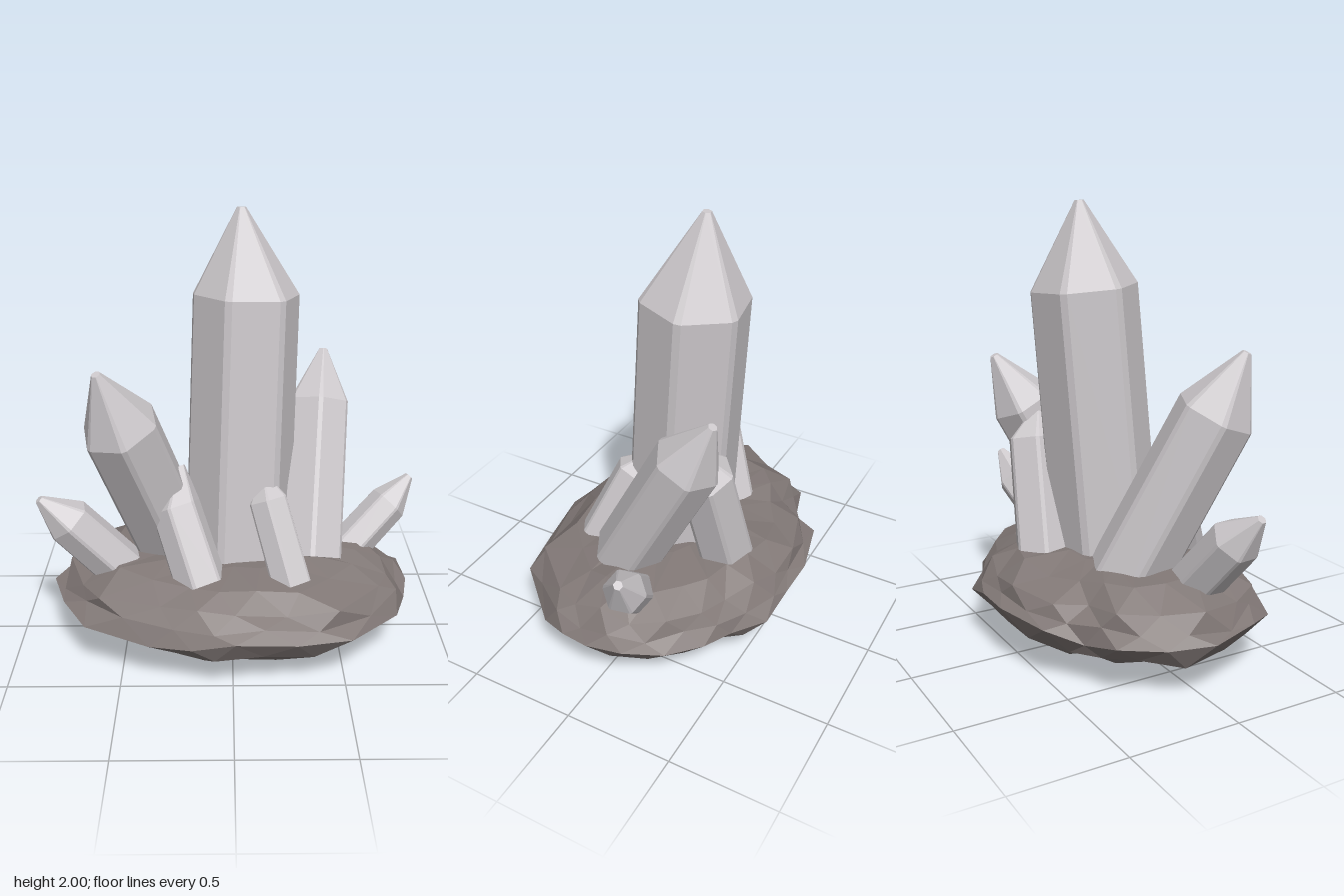
import * as THREE from 'three';

const crystalMat = new THREE.MeshStandardMaterial({ color: 0xcdc9cc });
crystalMat.name = 'pale crystal';
const rockMat = new THREE.MeshStandardMaterial({ color: 0x827977 });
rockMat.name = 'brown grey rock';

const V = (x, y, z) => new THREE.Vector3(x, y, z);

// Flat-shaded skin over closed rings listed from top to bottom, capped at both ends
function loft(rings, top, bottom, staggered = false) {
  const pos = [];
  const tri = (...pts) => pts.forEach((p) => pos.push(p.x, p.y, p.z));
  const n = rings[0].length;
  const last = rings.length - 1;
  for (let j = 0; j < n; j++) {
    const k = (j + 1) % n;
    tri(top, rings[0][k], rings[0][j]);
    for (let i = 0; i < last; i++) {
      const a = rings[i], c = rings[i + 1];
      if (staggered && i % 2) {
        tri(a[j], c[k], c[j]);
        tri(a[j], a[k], c[k]);
      } else {
        tri(a[j], a[k], c[j]);
        tri(a[k], c[k], c[j]);
      }
    }
    tri(rings[last][j], rings[last][k], bottom);
  }
  const geo = new THREE.BufferGeometry();
  geo.setAttribute('position', new THREE.Float32BufferAttribute(pos, 3));
  geo.computeVertexNormals();
  return geo;
}

// Six-sided crystal with narrow bevels on its long edges and a blunt point
function crystal({ name, base, shoulder, tip, r, turn }) {
  const b = V(...base), s = V(...shoulder), t = V(...tip);
  const q = new THREE.Quaternion().setFromUnitVectors(V(0, 1, 0), s.clone().sub(b).normalize());
  const ring = (centre, radius) => {
    const pts = [];
    for (let i = 0; i < 6; i++) {
      for (const bevel of [-4, 4]) {
        const a = THREE.MathUtils.degToRad(turn + i * 60 + bevel);
        pts.push(V(Math.cos(a) * radius, 0, Math.sin(a) * radius).applyQuaternion(q).add(centre));
      }
    }
    return pts;
  };
  const mesh = new THREE.Mesh(loft([ring(t, 0.02), ring(s, r), ring(b, r * 1.04)], t, b), crystalMat);
  mesh.name = name;
  return mesh;
}

// Craggy flattened rock: scaled copies of one outline with seeded jitter
function rock() {
  let seed = 11;
  const jitter = (amount) => {
    seed = (seed * 16807) % 2147483647;
    return (seed / 2147483647 - 0.5) * 2 * amount;
  };
  const outline = [
    [-0.845, 0], [-0.76, -0.18], [-0.66, -0.36], [-0.48, -0.41], [-0.38, -0.55], [-0.1, -0.62],
    [0.1, -0.615], [0.28, -0.6], [0.42, -0.49], [0.56, -0.43], [0.7, -0.31], [0.81, -0.16],
    [0.83, 0.01], [0.8, 0.15], [0.75, 0.28], [0.52, 0.53], [0.28, 0.58], [0.01, 0.615],
    [-0.18, 0.58], [-0.37, 0.52], [-0.66, 0.4], [-0.77, 0.24],
  ];
  // [scale of outline, height, height jitter]
  const profile = [
    [0.42, 0.455, 0.01], [0.71, 0.43, 0.02], [0.87, 0.365, 0.025], [0.95, 0.3, 0.025],
    [1, 0.245, 0.035], [0.91, 0.165, 0.025], [0.69, 0.085, 0.02], [0.38, 0.03, 0.015],
  ];
  const rings = profile.map(([scale, y, dy], i) => outline.map(([x, z], j) => {
    const [x2, z2] = outline[(j + 1) % outline.length];
    const f = i % 2 ? 0.5 : 0;
    const k = scale === 1 ? 1 : scale + jitter(0.03);
    return V((x + (x2 - x) * f) * k, Math.max(0.005, y + jitter(dy)), (z + (z2 - z) * f) * k);
  }));
  const mesh = new THREE.Mesh(loft(rings, V(0, 0.455, 0), V(-0.1, 0, 0), true), rockMat);
  mesh.name = 'rockBase';
  return mesh;
}

export function createModel() {
  const group = new THREE.Group();
  group.name = 'crystalCluster';
  group.add(rock());

  const crystals = [
    { name: 'mainCrystal', base: [0.03, 0.42, -0.02], shoulder: [0.065, 1.625, -0.11], tip: [0.042, 2.0, -0.145], r: 0.238, turn: 50 },
    { name: 'tallRightCrystal', base: [-0.25, 0.35, -0.09], shoulder: [-0.485, 1.125, 0.22], tip: [-0.565, 1.39, 0.315], r: 0.173, turn: 22 },
    { name: 'tallLeftCrystal', base: [0.36, 0.42, 0.08], shoulder: [0.41, 1.065, -0.265], tip: [0.44, 1.29, -0.39], r: 0.15, turn: 30 },
    { name: 'backCrystal', base: [0.1, 0.36, -0.305], shoulder: [0.27, 0.915, -0.265], tip: [0.31, 1.05, -0.23], r: 0.13, turn: 20 },
    { name: 'frontRightCrystal', base: [-0.14, 0.39, 0.285], shoulder: [-0.255, 0.71, 0.145], tip: [-0.235, 0.87, 0.05], r: 0.113, turn: 40 },
    { name: 'frontLeftCrystal', base: [0.265, 0.39, 0.285], shoulder: [0.16, 0.74, 0.14], tip: [0.14, 0.83, 0.08], r: 0.093, turn: 30 },
    { name: 'sideRightCrystal', base: [-0.5, 0.37, 0.1], shoulder: [-0.74, 0.65, 0.155], tip: [-0.86, 0.77, 0.19], r: 0.109, turn: 20 },
    { name: 'sideLeftCrystal', base: [0.54, 0.375, -0.065], shoulder: [0.755, 0.585, -0.155], tip: [0.855, 0.71, -0.19], r: 0.093, turn: 15 },
  ];
  crystals.forEach((c) => group.add(crystal(c)));
  return group;
}
